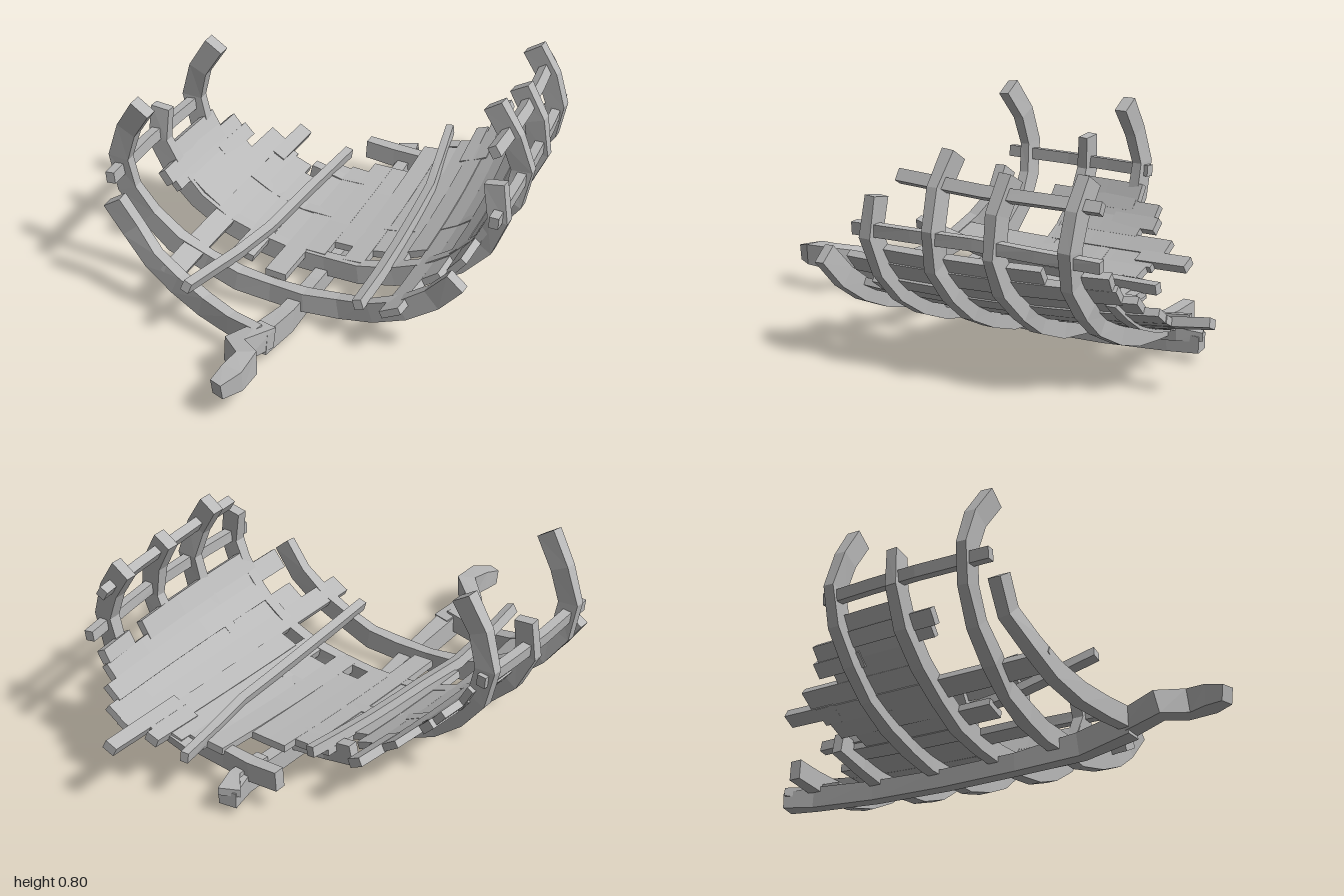
import * as THREE from 'three';

const wood = new THREE.MeshStandardMaterial({ color: 0xb8b8b8, flatShading: true });
wood.name = 'weatheredWood';

// Small seeded wobble for rough timber
let seed = 11;
const wobble = (a) => {
  seed = (seed * 16807) % 2147483647;
  return (seed / 2147483647 - 0.5) * 2 * a;
};

// Half cross-section of the hull, from keel to upper tip, mirrored into one curve
const half = [[0.24, 0.108], [0.45, 0.19], [0.585, 0.298], [0.662, 0.41], [0.685, 0.51], [0.65, 0.64], [0.545, 0.805]];
const section = new THREE.CatmullRomCurve3([
  ...half.map(([x, y]) => new THREE.Vector3(-x, y, 0)).reverse(),
  new THREE.Vector3(0, 0.088, 0),
  ...half.map(([x, y]) => new THREE.Vector3(x, y, 0)),
]);
const girth = section.getLength();

// The hull narrows towards both ends
const narrow = (z) => 1 - (z < 0.25 ? 0.115 : 0.3) * (z - 0.25) ** 2;

// Point on the hull: s = distance round from the keel (+ is left), offset inward
function hull(s, z, inward = 0) {
  const u = THREE.MathUtils.clamp(0.5 + s / girth, 0, 1);
  const p = section.getPointAt(u), t = section.getTangentAt(u);
  const up = new THREE.Vector3(-t.y, t.x, 0);
  const k = narrow(z);
  p.set(p.x * k, 0.5 + (p.y - 0.5) * k, z).addScaledVector(up, inward);
  return { p, up };
}

// Squared timber swept through stations {p, up, w, h}
function beam(name, stations) {
  const pos = [], index = [], n = stations.length;
  stations.forEach(({ p, up, w, h }, i) => {
    const a = stations[Math.max(i - 1, 0)].p, b = stations[Math.min(i + 1, n - 1)].p;
    const t = b.clone().sub(a).normalize();
    const side = t.clone().cross(up).normalize();
    const top = side.clone().cross(t);
    for (const [x, y] of [[-1, -1], [1, -1], [1, 1], [-1, 1]]) {
      const c = p.clone().addScaledVector(side, x * w / 2).addScaledVector(top, y * h / 2);
      pos.push(c.x, c.y, c.z);
    }
    if (i === n - 1) return;
    for (let j = 0; j < 4; j++) {
      const q = i * 4 + j, r = i * 4 + (j + 1) % 4;
      index.push(q, q + 4, r + 4, q, r + 4, r);
    }
  });
  const e = (n - 1) * 4;
  index.push(0, 1, 2, 0, 2, 3, e + 3, e + 2, e + 1, e + 3, e + 1, e);
  const g = new THREE.BufferGeometry();
  g.setAttribute('position', new THREE.Float32BufferAttribute(pos, 3));
  g.setIndex(index);
  const flat = g.toNonIndexed();
  flat.computeVertexNormals();
  const mesh = new THREE.Mesh(flat, wood);
  mesh.name = name;
  return mesh;
}

// Keel timbers from rows of x, y, z, width, height
const UP = new THREE.Vector3(0, 1, 0);
const spine = (name, rows) => beam(name,
  rows.map(([x, y, z, w, h]) => ({ p: new THREE.Vector3(x, y, z), up: UP, w, h })));

// Rib from s0 to s1, zAt gives its position along the ship
function rib(name, s0, s1, zAt, h = 0.078, inward = 0) {
  const n = Math.max(4, Math.round((s1 - s0) / 0.14));
  const stations = [];
  for (let i = 0; i <= n; i++) {
    const s = s0 + (s1 - s0) * i / n;
    stations.push({ ...hull(s, zAt(s) + wobble(0.008), inward), w: 0.045 + wobble(0.006), h: h + wobble(0.005) });
  }
  return beam(name, stations);
}

// Timber running along the hull through [s, z] stops; inwardAt(z) lifts it off the hull
function runner(name, stops, w, h, inwardAt) {
  const stations = [];
  for (let i = 0; i < stops.length - 1; i++) {
    const [s0, z0] = stops[i], [s1, z1] = stops[i + 1];
    const n = Math.max(1, Math.round(Math.abs(z1 - z0) / 0.2));
    for (let j = i ? 1 : 0; j <= n; j++) {
      const z = z0 + (z1 - z0) * j / n;
      stations.push({ ...hull(s0 + (s1 - s0) * j / n, z, inwardAt(z)), w: w * narrow(z), h });
    }
  }
  return beam(name, stations);
}

export function createModel() {
  const ship = new THREE.Group();
  ship.name = 'shipwreck';
  const group = (name) => {
    const g = new THREE.Group();
    g.name = name;
    ship.add(g);
    return g;
  };

  // Keel with its crooked broken prow
  ship.add(spine('keel', [
    [-0.03, 0.07, -0.78, 0.07, 0.06], [-0.01, 0.07, -0.66, 0.05, 0.08], [0, 0.05, -0.4, 0.05, 0.075],
    [0, 0.037, -0.1, 0.05, 0.07], [0, 0.037, 0.2, 0.05, 0.07], [0.01, 0.055, 0.45, 0.055, 0.09],
    [0.0, 0.09, 0.65, 0.07, 0.09],
  ]));
  ship.add(spine('prow', [
    [0.01, 0.09, 0.6, 0.07, 0.08], [-0.03, 0.125, 0.77, 0.07, 0.09], [0.055, 0.145, 0.84, 0.07, 0.09],
    [0.05, 0.145, 0.93, 0.08, 0.08], [0.025, 0.135, 1.0, 0.05, 0.06],
  ]));
  ship.add(spine('sternStump', [[0, 0.09, -0.55, 0.05, 0.05], [0, 0.1, -0.7, 0.04, 0.05], [-0.04, 0.1, -0.78, 0.08, 0.03]]));

  // Ribs, some snapped short
  const ribs = group('ribs');
  for (const [s0, s1, z] of [[-0.18, 1.17, -0.645], [-0.3, 1.13, -0.38], [-1.17, 1.18, -0.135], [-0.97, 0.99, 0.115]]) {
    ribs.add(rib('rib', s0, s1, () => z));
  }
  ribs.add(rib('foreRib', -1.18, 0.72, (s) => 0.355 + 0.04 * s * s));
  ribs.add(rib('bowRib', -0.78, 0.0, (s) => 0.65 - 0.15 * Math.min(1, Math.abs(s) / 0.6)));
  ribs.add(rib('sternRib', 0.18, 0.64, () => -0.74, 0.03, 0.03));

  // Hull planks: s, back end, front end. Left side planks lean slightly in towards the stern
  const planks = group('planks');
  const lean = (s, base) => (z) => base + (s > 0.1 && z < 0.1 ? 0.018 * (0.1 - z) ** 2 : 0);
  for (const [s, back, front] of [
    [-0.75, -0.18, 0.13], [-0.67, -0.28, 0.2], [-0.59, -0.24, 0.12], [-0.51, -0.4, 0.12], [-0.43, -0.38, 0.56],
    [-0.35, -0.36, 0.12], [-0.27, -0.3, 0.26], [-0.19, -0.44, 0.12], [-0.11, -0.45, 0.3], [-0.035, -0.51, 0.12],
    [0.045, -0.51, 0.03], [0.125, -0.68, 0.12], [0.205, -0.7, 0.03], [0.285, -0.75, 0.12], [0.365, -0.8, 0.03],
    [0.445, -0.87, 0.45], [0.525, -0.87, 0.25], [0.605, -0.82, 0.12], [0.68, -0.77, 0.28], [0.745, -0.52, 0.14],
  ]) {
    planks.add(runner('plank', [[s, back], [s, front]], 0.082, 0.028, lean(s, 0.028 + wobble(0.003))));
  }
  // Narrow broken ends
  for (const [s, z0, z1] of [[0.405, -1.0, -0.6], [-0.445, -0.52, -0.3], [0.33, -0.83, -0.6], [0.76, -0.76, -0.6],
    [-0.62, -0.3, -0.1], [-0.7, -0.17, 0.22]]) {
    planks.add(runner('plankEnd', [[s, z0], [s, z1]], 0.06, 0.034, lean(s, 0.028)));
  }
  // Battens backing the planks by the fore rib
  for (const s of [0.12, 0.28, 0.6]) {
    planks.add(runner('batten', [[s, -0.1], [s, 0.13]], 0.07, 0.03, () => 0.02));
  }

  // Thin stringers laid along the inside, the right one lifting off towards the bow
  const stringers = group('innerStringers');
  stringers.add(runner('innerStringer', [[-0.21, -0.51], [-0.235, -0.2], [-0.25, 0.1], [-0.28, 0.3], [-0.33, 0.66]],
    0.035, 0.04, (z) => 0.055 + 0.12 * Math.max(0, z - 0.3)));
  stringers.add(runner('innerStringer', [[0.15, -0.82], [0.24, -0.4], [0.27, 0], [0.3, 0.42]], 0.035, 0.04, () => 0.055));

  // Rails through the upper ribs
  const rails = group('rails');
  rails.add(runner('upperRail', [[1.07, 0.04], [1.06, -0.3], [1.07, -0.73]], 0.045, 0.035, () => 0));
  rails.add(runner('lowerRail', [[0.87, 0.19], [0.88, -0.3], [0.86, -0.76]], 0.045, 0.035, () => 0));
  rails.add(runner('lowerRail', [[-0.86, -0.18], [-0.86, 0.2], [-0.86, 0.48]], 0.045, 0.035, () => 0));
  return ship;
}
